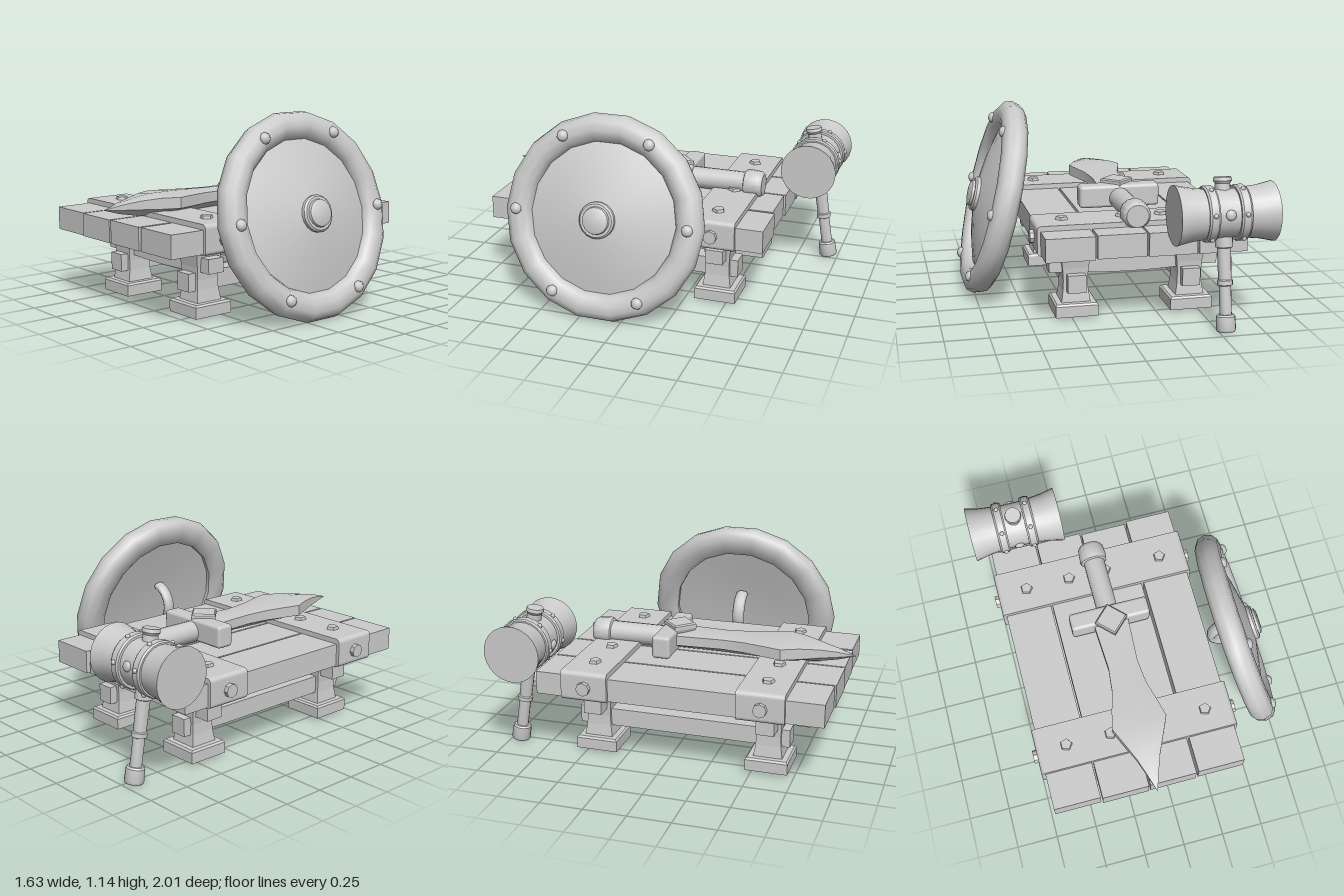
import * as THREE from 'three';
import { RoundedBoxGeometry } from 'three/addons/geometries/RoundedBoxGeometry.js';
import { toCreasedNormals } from 'three/addons/utils/BufferGeometryUtils.js';

const smooth = new THREE.MeshStandardMaterial({ color: 0xcccccc, side: THREE.DoubleSide });
const flat = new THREE.MeshStandardMaterial({ color: 0xcccccc, flatShading: true, side: THREE.DoubleSide });

function add(parent, name, geometry, position = [0, 0, 0], material = flat) {
  const mesh = new THREE.Mesh(geometry, material);
  mesh.name = name;
  mesh.position.set(...position);
  parent.add(mesh);
  return mesh;
}

function group(parent, name, position = [0, 0, 0]) {
  const g = new THREE.Group();
  g.name = name;
  g.position.set(...position);
  parent.add(g);
  return g;
}

// Box given by its limits
function block(parent, name, x0, x1, y0, y1, z0, z1) {
  return add(parent, name, new THREE.BoxGeometry(x1 - x0, y1 - y0, z1 - z0),
    [(x0 + x1) / 2, (y0 + y1) / 2, (z0 + z1) / 2]);
}

function lathe(points, segments, crease = 0.6) {
  const g = new THREE.LatheGeometry(points.map(p => new THREE.Vector2(...p)), segments);
  return toCreasedNormals(g, crease);
}

function roundedRect(w, h, r) {
  const s = new THREE.Shape(), x = w / 2, y = h / 2;
  s.absarc(x - r, y - r, r, 0, Math.PI / 2);
  s.absarc(-x + r, y - r, r, Math.PI / 2, Math.PI);
  s.absarc(-x + r, -y + r, r, Math.PI, Math.PI * 1.5);
  s.absarc(x - r, -y + r, r, Math.PI * 1.5, Math.PI * 2);
  return s;
}

function buildTable(root) {
  const table = group(root, 'table');
  const legX = [-0.45, 0.225], legZ = [-0.435, 0.59];

  // Four planks with uneven ends
  [[-0.72, -0.44, -0.735, 0.94], [-0.43, -0.15, -0.73, 0.948], [-0.14, 0.14, -0.72, 0.945], [0.155, 0.435, -0.735, 0.94]]
    .forEach(([x0, x1, z0, z1]) => block(table, 'plank', x0, x1, 0.4, 0.535, z0, z1));

  for (const z of legZ) {
    // Band wrapped around the planks, with five-sided bolts
    const bandGeo = new THREE.ExtrudeGeometry(roundedRect(1.195, 0.175, 0.025),
      { depth: 0.275, bevelEnabled: false, curveSegments: 3 });
    add(table, 'band', bandGeo, [-0.143, 0.478, z - 0.14]);
    for (const x of [-0.56, -0.29, -0.06, 0.29]) {
      add(table, 'topBolt', new THREE.CylinderGeometry(0.034, 0.04, 0.025, 5), [x, 0.57, z]).rotation.y = Math.PI / 2;
    }
    for (const x of [-0.75, 0.463]) {
      add(table, 'sideBolt', new THREE.CylinderGeometry(0.04, 0.04, 0.03, 8), [x, 0.473, z]).rotation.z = Math.PI / 2;
    }

    // Sagging cross rail with square ends
    const rail = new THREE.BoxGeometry(0.84, 0.085, 0.085, 10, 1, 1);
    const p = rail.attributes.position;
    for (let i = 0; i < p.count; i++) p.setY(i, p.getY(i) - 0.018 * Math.cos(p.getX(i) / 0.84 * Math.PI));
    add(table, 'crossRail', rail, [-0.115, 0.305, z]);
    block(table, 'railEnd', -0.62, -0.5, 0.265, 0.35, z - 0.053, z + 0.053);
    block(table, 'railEnd', 0.27, 0.375, 0.265, 0.35, z - 0.053, z + 0.053);

    // Waisted legs on hollow feet: square lathe profile as half-widths
    for (const x of legX) {
      const profile = [[0, 0.065], [0.07, 0.065], [0.088, 0.015], [0.124, 0.015], [0.124, 0.08], [0.115, 0.092],
        [0.084, 0.092], [0.074, 0.16], [0.071, 0.22], [0.075, 0.29], [0.084, 0.35], [0.095, 0.41]];
      const leg = new THREE.LatheGeometry(profile.map(([w, y]) => new THREE.Vector2(w * Math.SQRT2, y)), 4);
      leg.rotateY(Math.PI / 4);
      add(table, 'leg', leg, [x, 0, z]);
    }
  }
  for (const x of legX) block(table, 'longRail', x - 0.053, x + 0.053, 0.155, 0.26, -0.555, 0.71);
}

function bladeGeometry() {
  // z, half width, thickness
  const stations = [[-0.08, 0.106, 0.9], [0.05, 0.099, 0.9], [0.22, 0.09, 0.9], [0.36, 0.105, 0.95], [0.49, 0.14, 1],
    [0.59, 0.165, 1], [0.69, 0.12, 1], [0.8, 0.07, 0.78], [0.9, 0.035, 0.48], [1, 0.001, 0.02]];
  const section = [[0, 0.066], [-1, 0.052], [-1, -0.012], [0, -0.066], [1, -0.012], [1, 0.052]];
  const pos = [], index = [], n = section.length;
  for (const [z, w, h] of stations) for (const [x, y] of section) pos.push(x * w, y * h, z);
  for (let i = 0; i < stations.length - 1; i++) {
    for (let j = 0; j < n; j++) {
      const a = i * n + j, b = i * n + (j + 1) % n;
      index.push(a, b, b + n, a, b + n, a + n);
    }
  }
  const g = new THREE.BufferGeometry();
  g.setAttribute('position', new THREE.Float32BufferAttribute(pos, 3));
  g.setIndex(index);
  g.computeVertexNormals();
  return toCreasedNormals(g, 0.5);
}

function buildSword(root) {
  const sword = group(root, 'sword', [-0.115, 0.6, 0]);
  add(sword, 'blade', bladeGeometry(), [0, 0, 0], smooth);
  add(sword, 'guard', new RoundedBoxGeometry(0.485, 0.135, 0.11, 2, 0.02), [0, 0.013, -0.107], smooth);
  const gem = lathe([[0, -0.03], [0.09, -0.03], [0.1, -0.012], [0.1, 0.012], [0.09, 0.02], [0, 0.02]], 4, 0.1);
  add(sword, 'gem', gem, [0, 0.085, -0.06]);
  const grip = lathe([[0, -0.6], [0.065, -0.6], [0.08, -0.58], [0.085, -0.51], [0.08, -0.49], [0.065, -0.485], [0.065, -0.13], [0, -0.13]], 14);
  grip.rotateX(Math.PI / 2);
  add(sword, 'gripAndPommel', grip, [0, 0, 0], smooth);
}

function buildShield(root) {
  // Local y is the shield's outward axis
  const shield = group(root, 'shield', [0.612, 0.572, 0.147]);
  shield.rotation.z = -75.8 * Math.PI / 180;
  const sides = 18;
  const rim = [[0.44, -0.05], [0.47, -0.07], [0.55, -0.07], [0.585, -0.045], [0.598, 0],
    [0.585, 0.045], [0.55, 0.07], [0.5, 0.075], [0.46, 0.058], [0.435, 0.02], [0.44, -0.05]];
  add(shield, 'rim', lathe(rim, sides, 0.9), [0, 0, 0], smooth);
  const face = [[0, -0.0], [0.25, -0.015], [0.46, -0.03], [0.46, 0.015], [0.3, 0.062], [0.1, 0.1], [0, 0.11]];
  add(shield, 'face', lathe(face, sides), [0, 0, 0], smooth);
  const boss = [[0.105, 0.08], [0.105, 0.118], [0.095, 0.128], [0.08, 0.128], [0.076, 0.142], [0.06, 0.15], [0, 0.152]];
  add(shield, 'boss', lathe(boss, sides), [0, 0, 0], smooth);
  for (let i = 0; i < 6; i++) {
    const a = i * Math.PI / 3;
    const rivet = add(shield, 'rivet', new THREE.SphereGeometry(0.034, 10, 6), [Math.sin(a) * 0.515, 0.072, Math.cos(a) * 0.515], smooth);
    rivet.scale.y = 0.75;
  }
  // Arched strap on the back
  const strap = new THREE.TorusGeometry(0.13, 0.024, 8, 16, Math.PI);
  strap.rotateZ(Math.PI);
  add(shield, 'handle', strap, [0, -0.025, 0], smooth).scale.z = 1.6;
}

function buildHammer(root) {
  const hammer = group(root, 'hammer', [-0.535, 0.657, -0.838]);
  hammer.rotation.x = 0.16;

  // Flared head along x
  const head = lathe([[0, -0.28], [0.168, -0.28], [0.15, -0.2], [0.141, -0.12], [0.136, -0.06], [0.136, 0.06],
    [0.141, 0.12], [0.15, 0.2], [0.168, 0.28], [0, 0.28]], 24);
  head.rotateZ(Math.PI / 2);
  add(hammer, 'head', head, [0, 0, 0], smooth);
  for (const x of [-0.09, 0.09]) {
    const band = lathe([[0.13, -0.03], [0.15, -0.03], [0.157, -0.02], [0.157, 0.02], [0.15, 0.03], [0.13, 0.03]], 24);
    band.rotateZ(Math.PI / 2);
    add(hammer, 'headBand', band, [x, 0, 0], smooth);
    for (let i = 0; i < 6; i++) {
      const a = i * Math.PI / 3;
      add(hammer, 'bandStud', new THREE.SphereGeometry(0.014, 8, 6), [x, Math.sin(a) * 0.156, Math.cos(a) * 0.156], smooth);
    }
  }
  for (const z of [-0.138, 0.138]) {
    add(hammer, 'headStud', new THREE.SphereGeometry(0.03, 10, 6), [0, 0, z], smooth).scale.z = 0.5;
  }

  // Handle running through the head, with collar, butt and top knob
  const handle = lathe([[0, -0.655], [0.05, -0.655], [0.056, -0.645], [0.053, -0.57], [0.045, -0.56], [0.034, -0.56], [0.034, -0.4],
    [0.044, -0.395], [0.044, -0.37], [0.037, -0.365], [0.039, -0.19], [0.05, -0.185], [0.05, -0.1], [0.04, -0.1],
    [0.045, 0.1], [0.042, 0.165], [0.052, 0.18], [0.048, 0.2], [0, 0.2]], 14);
  add(hammer, 'handle', handle, [0, 0, 0], smooth);
}

export function createModel() {
  const root = new THREE.Group();
  root.name = 'weaponTable';
  buildTable(root);
  buildSword(root);
  buildShield(root);
  buildHammer(root);
  return root;
}
